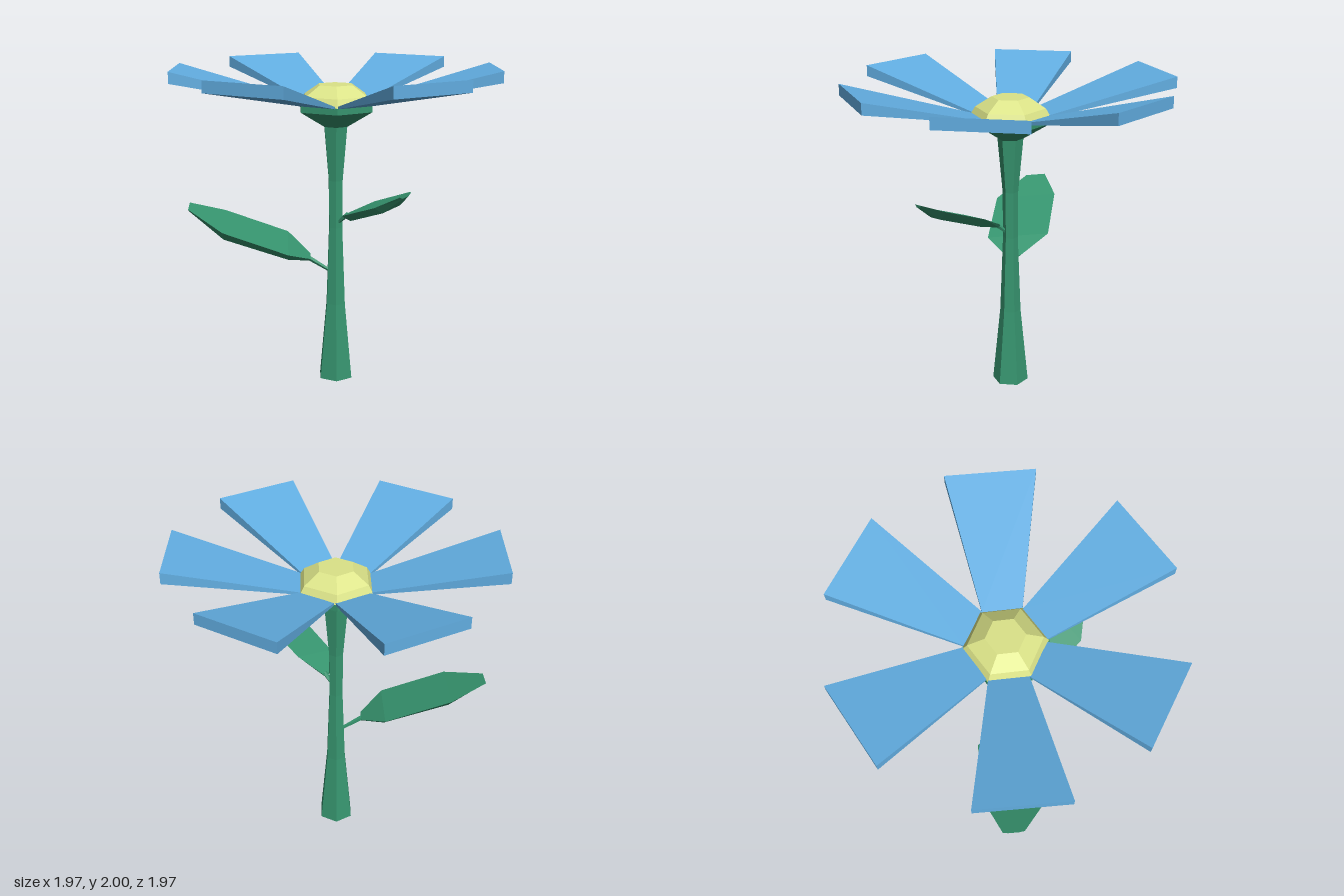
import * as THREE from 'three';

const material = (color) => new THREE.MeshStandardMaterial({ color, flatShading: true });
const green = material(0x379670);
const blue = material(0x62aee2);
const yellow = material(0xdbe388);

function faceted(name, geometry, mat) {
  const flat = geometry.index ? geometry.toNonIndexed() : geometry;
  flat.computeVertexNormals();
  const mesh = new THREE.Mesh(flat, mat);
  mesh.name = name;
  return mesh;
}

// Six-sided turned solid from [radius, y] pairs, bottom to top
function hexLathe(name, profile, mat) {
  const points = profile.map(([r, y]) => new THREE.Vector2(r, y));
  return faceted(name, new THREE.LatheGeometry(points, 6), mat);
}

// Closed solid through rings of equal point count
function loft(rings) {
  const n = rings[0].length, last = (rings.length - 1) * n, index = [];
  for (let i = 0; i < rings.length - 1; i++) {
    for (let j = 0; j < n; j++) {
      const a = i * n + j, b = i * n + (j + 1) % n;
      index.push(a, a + n, b, b, a + n, b + n);
    }
  }
  for (let j = 1; j < n - 1; j++) {
    index.push(0, j, j + 1, last, last + j + 1, last + j);
  }
  const geometry = new THREE.BufferGeometry();
  geometry.setAttribute('position', new THREE.Float32BufferAttribute(rings.flat(2), 3));
  geometry.setIndex(index);
  return geometry;
}

// Leaf blade: stations are [x, y, z, halfWidth, depth], side points across the blade
function leaf(name, stations, side, stalkFrom, stalkTo) {
  const group = new THREE.Group();
  group.name = name;
  const section = [[1, 0], [0, 0], [-1, 0], [-0.5, -1], [0.5, -1]];
  const rings = stations.map(([x, y, z, w, depth]) => section.map(([s, d]) => [
    x + side[0] * s * w, y + side[1] * s * w + d * depth, z + side[2] * s * w,
  ]));
  group.add(faceted('leafBlade', loft(rings), green));

  // Thin stalk joining the blade to the stem
  const from = new THREE.Vector3(...stalkFrom), to = new THREE.Vector3(...stalkTo);
  const direction = to.clone().sub(from);
  const stalk = faceted('leafStalk', new THREE.CylinderGeometry(0.016, 0.01, direction.length(), 5), green);
  stalk.position.copy(from).add(to).multiplyScalar(0.5);
  stalk.quaternion.setFromUnitVectors(new THREE.Vector3(0, 1, 0), direction.normalize());
  group.add(stalk);
  return group;
}

export function createModel() {
  const flower = new THREE.Group();
  flower.name = 'flower';

  // Stem, flower base and centre
  flower.add(hexLathe('stem', [[0, 0], [0.115, 0], [0.066, 0.5], [0.047, 1.0], [0.049, 1.3], [0.08, 1.64]], green));
  flower.add(hexLathe('flowerBase', [[0, 1.64], [0.08, 1.64], [0.248, 1.74], [0.248, 1.78], [0, 1.78]], green));
  flower.add(hexLathe('flowerCentre', [[0.245, 1.78], [0.215, 1.83], [0.115, 1.895], [0, 1.895]], yellow));

  // Petals: wedges that widen and thicken outward, each turned slightly off the even spacing
  const petalRing = (x, z, top, bottom) => [[x, top, z], [x, top, -z], [x, bottom, -z], [x, bottom, z]];
  const petalShape = loft([petalRing(0.205, 0.115, 1.79, 1.775), petalRing(0.977, 0.264, 2, 1.93)]);
  [1.65, 0.55, 3.15, 1.6, 2.8, 3.65].forEach((offset, i) => {
    const petal = faceted('petal' + (i + 1), petalShape, blue);
    petal.rotation.y = -THREE.MathUtils.degToRad(i * 60 + offset);
    flower.add(petal);
  });

  // Large right leaf and small left leaf
  flower.add(leaf('rightLeaf', [
    [-0.16, 0.81, 0, 0.05, 0.02],
    [-0.30, 0.895, -0.01, 0.2, 0.07],
    [-0.70, 1.04, -0.015, 0.2, 0.08],
    [-0.92, 1.13, -0.06, 0.065, 0.02],
  ], [0, 0.12, -1], [-0.03, 0.71, 0], [-0.17, 0.8, 0]));
  flower.add(leaf('leftLeaf', [
    [0.06, 1.1, 0.07, 0.03, 0.02],
    [0.13, 1.165, 0.2, 0.13, 0.055],
    [0.31, 1.265, 0.41, 0.14, 0.055],
    [0.38, 1.315, 0.5, 0.045, 0.015],
  ], [-0.8, -0.2, 0.6], [0.01, 1.03, 0.02], [0.07, 1.1, 0.08]));

  return flower;
}
